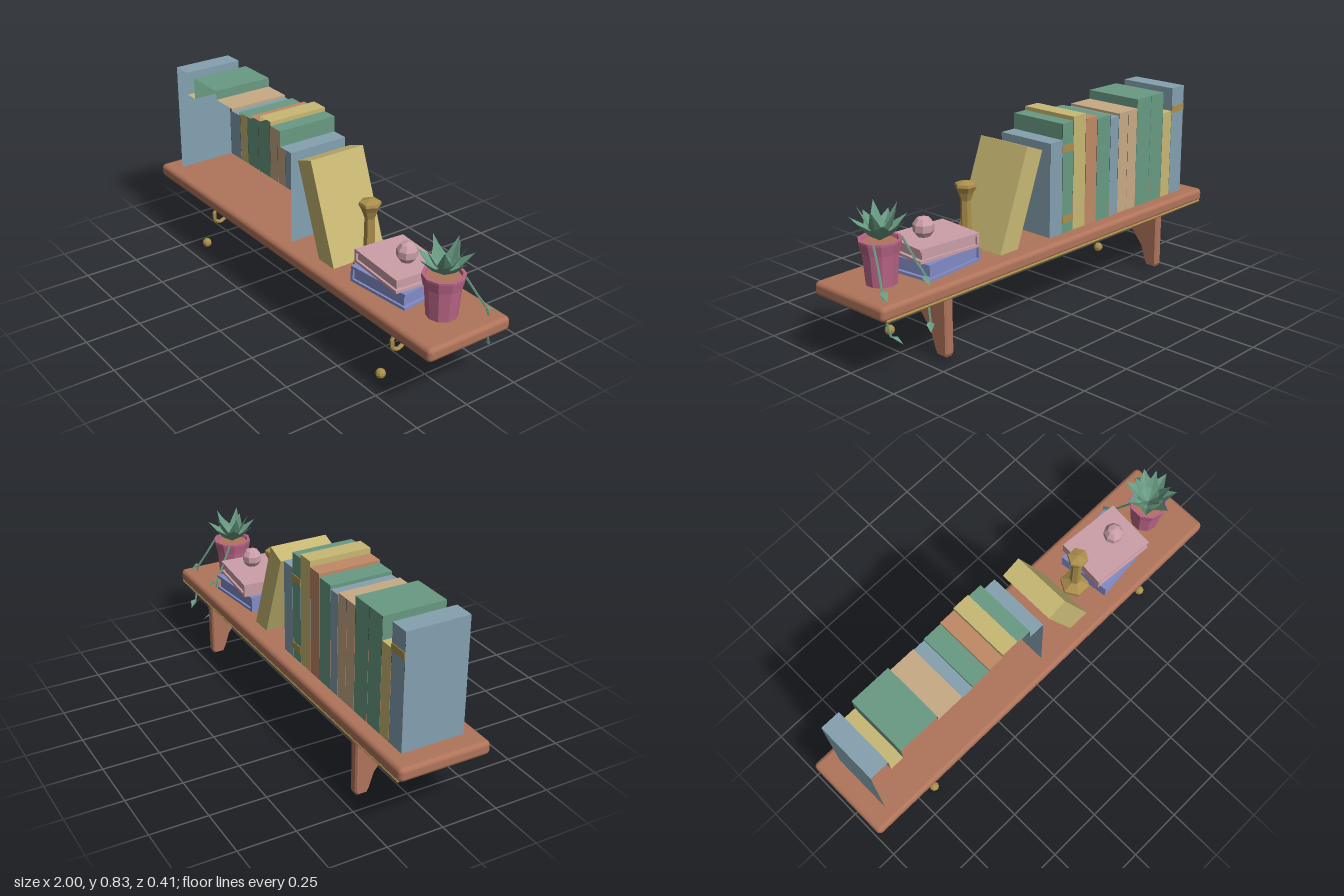
import * as THREE from 'three';
import { RoundedBoxGeometry } from 'three/addons/geometries/RoundedBoxGeometry.js';

const mat = (name, color, flat = true) => {
  const m = new THREE.MeshStandardMaterial({ color, flatShading: flat, side: THREE.DoubleSide });
  m.name = name;
  return m;
};

export function createModel() {
  const M = {
    wood: mat('wood', 0xb0745a, false),
    gold: mat('gold', 0xac8f4c),
    blue: mat('blue', 0x84a1b0),
    yellow: mat('yellow', 0xc8b873),
    green: mat('green', 0x689a82),
    tan: mat('tan', 0xc6aa84),
    orange: mat('orange', 0xc08a66),
    pot: mat('potRose', 0xb96586),
    pink: mat('pink', 0xcc9fa8),
    violet: mat('violet', 0x828cc6),
  };
  const root = new THREE.Group();
  root.name = 'bookShelf';
  const add = (name, geo, m, x = 0, y = 0, z = 0, parent = root) => {
    const mesh = new THREE.Mesh(geo, m);
    mesh.name = name;
    mesh.position.set(x, y, z);
    parent.add(mesh);
    return mesh;
  };
  const group = (name, x = 0, y = 0, z = 0) => {
    const g = new THREE.Group();
    g.name = name;
    g.position.set(x, y, z);
    root.add(g);
    return g;
  };
  const box = (w, h, d) => new THREE.BoxGeometry(w, h, d);
  const v3 = (p) => new THREE.Vector3(...p);
  const TOP = 0.325;

  // Shelf board with a gold bead along the lower back edge
  add('shelfBoard', new RoundedBoxGeometry(2, 0.061, 0.41, 2, 0.02), M.wood, 0, 0.2945, 0);
  add('backTrim', new THREE.CylinderGeometry(0.007, 0.007, 1.96, 6).rotateZ(Math.PI / 2), M.gold, 0, 0.268, -0.199);

  // Curved brackets, each with a scroll and a ball
  const outline = [[0.15, 0.268], [0.06, 0.244], [-0.03, 0.206], [-0.07, 0.17], [-0.12, 0.11],
    [-0.14, 0.05], [-0.152, 0.024], [-0.192, 0.024], [-0.197, 0.034], [-0.197, 0.268]];
  const bracketGeo = new THREE.ExtrudeGeometry(
    new THREE.Shape(outline.map(([z, y]) => new THREE.Vector2(z, y))),
    { depth: 0.028, bevelThickness: 0.008, bevelSize: 0.006, bevelSegments: 1 });
  bracketGeo.translate(0, 0, -0.014).rotateY(-Math.PI / 2);
  const scroll = new THREE.CurvePath();
  const spiral = [[0.035, 0.165], [0.057, 0.203], [0.1, 0.212], [0.129, 0.183], [0.127, 0.143],
    [0.1, 0.127], [0.071, 0.14], [0.07, 0.166], [0.084, 0.177], [0.1, 0.174]].map(([z, y]) => v3([0, y, z]));
  for (let i = 1; i < spiral.length; i++) scroll.add(new THREE.LineCurve3(spiral[i - 1], spiral[i]));
  const scrollGeo = new THREE.TubeGeometry(scroll, 27, 0.009, 6);
  for (const x of [-0.667, 0.667]) {
    add('bracket', bracketGeo, M.wood, x);
    add('bracketScroll', scrollGeo, M.gold, x + 0.026);
    add('bracketBall', new THREE.SphereGeometry(0.022, 8, 6), M.gold, x, 0.022, 0.16);
  }

  // Book row: open-fronted shells with spines at the back; [right edge, top, colour]
  const books = [[-0.816, 0.835, 'blue'], [-0.751, 0.728, 'yellow'], [-0.658, 0.827, 'green'],
    [-0.559, 0.827, 'green'], [-0.495, 0.786, 'tan'], [-0.43, 0.786, 'tan'], [-0.372, 0.775, 'blue'],
    [-0.281, 0.79, 'green'], [-0.206, 0.803, 'orange'], [-0.126, 0.828, 'yellow'],
    [-0.056, 0.81, 'green'], [0.021, 0.74, 'blue']];
  const row = group('bookRow');
  const D = 0.28;
  const side = (x, y0, y1, c, sign) => {
    if (y1 - y0 > 0.002) {
      add('bookCover', new THREE.PlaneGeometry(D, y1 - y0).rotateY(sign * Math.PI / 2), M[c], x, (y0 + y1) / 2, 0, row);
    }
  };
  let left = -0.906, prev = [0, TOP, 'blue'];
  for (const b of books) {
    const [right, top, c] = b;
    const w = right - left, cx = (left + right) / 2;
    add('bookSpine', new THREE.PlaneGeometry(w - 0.002, top - TOP).rotateY(Math.PI), M[c], cx, (top + TOP) / 2, -D / 2, row);
    add('bookTop', new THREE.PlaneGeometry(w, D).rotateX(-Math.PI / 2), M[c], cx, top, 0, row);
    if (top > prev[1]) side(left, prev[1], top, c, -1);
    else side(left, top, prev[1], prev[2], 1);
    left = right;
    prev = b;
  }
  side(left, TOP, prev[1], prev[2], 1);
  // Gold bands on two spines
  for (const [x, y, w] of [[-0.861, 0.735, 0.088], [-0.091, 0.7, 0.068], [-0.091, 0.385, 0.068]]) {
    add('spineBand', box(w, 0.032, 0.004), M.gold, x, y, -D / 2 - 0.001, row);
  }

  // Leaning book, its lower corner cut by the shelf top
  const lean = [[0.0615, 0.72], [0.152, 0.753], [0.313, TOP], [0.21, TOP]];
  add('leaningBook', new THREE.ExtrudeGeometry(
    new THREE.Shape(lean.map(([x, y]) => new THREE.Vector2(x, y))),
    { depth: 0.266, bevelEnabled: false }), M.yellow, 0, 0, -0.133);

  // Candlestick
  const stick = [[0, TOP], [0.066, TOP], [0.066, 0.348], [0.035, 0.366], [0.024, 0.375], [0.022, 0.55],
    [0.034, 0.585], [0.047, 0.61], [0.044, 0.622], [0, 0.635]];
  add('candlestick', new THREE.LatheGeometry(stick.map((p) => new THREE.Vector2(...p)), 6, Math.PI / 6 * 3),
    M.gold, 0.375, 0, 0);

  // Two stacked books with a round stone on top
  const flatBook = (name, m, w, d, y, h, turn) => {
    const g = group(name, 0.567, y, -0.003);
    g.rotation.y = turn;
    for (const cy of [0.006, h - 0.006]) add('cover', box(w, 0.012, d), m, 0, cy, 0, g);
    add('pages', box(w - 0.02, h - 0.02, d - 0.02), m, -0.004, h / 2, 0, g);
    add('spine', box(0.012, h, d), m, -w / 2 + 0.006, h / 2, 0, g);
  };
  flatBook('lowerFlatBook', M.violet, 0.305, 0.243, TOP, 0.071, 0.1);
  flatBook('upperFlatBook', M.pink, 0.295, 0.235, 0.396, 0.059, -0.08);
  add('roundStone', new THREE.SphereGeometry(0.046, 8, 5), M.pink, 0.61, 0.496, -0.003);

  // Plant pot and soil
  const plant = group('plant', 0.83, 0, 0);
  const potProfile = [[0, TOP], [0.064, TOP], [0.074, 0.455], [0.079, 0.457], [0.087, 0.498], [0.087, 0.507],
    [0.074, 0.507], [0.07, 0.49]];
  add('pot', new THREE.LatheGeometry(potProfile.map((p) => new THREE.Vector2(...p)), 10), M.pot, 0, 0, 0, plant);
  add('soil', new THREE.CircleGeometry(0.072, 10).rotateX(-Math.PI / 2), M.wood, 0, 0.493, 0, plant);

  // Folded leaf from the origin to a tip at (length, rise)
  const leafGeo = (length, rise, width, fold) => {
    const r = [0, 0, 0], t = [length, rise, 0];
    const k = [length * 0.48, rise * 0.35, 0];
    const a = [k[0], k[1] + fold, width], b = [k[0], k[1] + fold, -width];
    const g = new THREE.BufferGeometry();
    g.setAttribute('position', new THREE.Float32BufferAttribute(
      [r, a, k, a, t, k, r, k, b, k, t, b].flat(), 3));
    g.computeVertexNormals();
    return g;
  };
  const ring = (n, offset, geo) => {
    for (let i = 0; i < n; i++) {
      add('leaf', geo, M.green, 0, 0.497, 0, plant).rotation.y = offset + (i / n) * Math.PI * 2;
    }
  };
  ring(7, 0.1, leafGeo(0.115, 0.095, 0.034, 0.018));
  ring(5, 0.5, leafGeo(0.085, 0.14, 0.028, 0.012));

  // Two trailing vines with small leaves
  const vineLeaf = leafGeo(0.05, -0.03, 0.016, 0.006);
  for (const s of [-1, 1]) {
    const path = [[0.07, 0.508, -0.045], [0.09, 0.42, -0.095], [0.112, 0.335, -0.14],
      [0.107, 0.25, -0.145], [0.1, 0.18, -0.163]].map(([x, y, z]) => v3([s * x, y, z]));
    add('vine', new THREE.TubeGeometry(new THREE.CatmullRomCurve3(path), 10, 0.005, 5), M.green, 0, 0, 0, plant);
    for (const [x, y, z, turn] of [[0.105, 0.36, -0.125, 1.3], [0.1, 0.18, -0.16, s > 0 ? 2.2 : 0.9]]) {
      add('vineLeaf', vineLeaf, M.green, s * x, y, z, plant).rotation.y = turn;
    }
  }
  return root;
}
